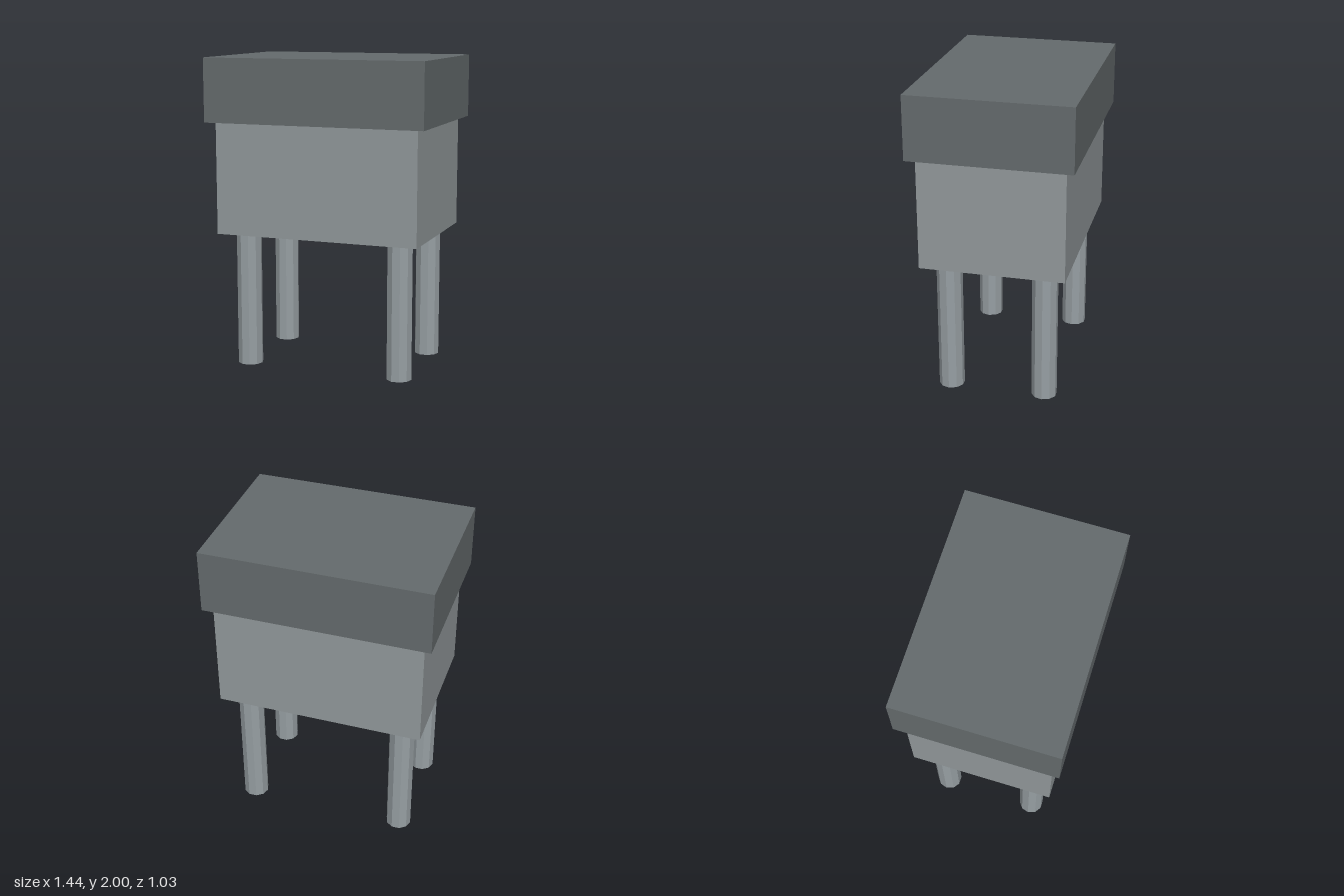
import * as THREE from 'three';

const material = (name, color) => {
  const m = new THREE.MeshStandardMaterial({ color, flatShading: true });
  m.name = name;
  return m;
};

export function createModel() {
  const model = new THREE.Group();
  model.name = 'boxOnLegs';

  const lidGrey = material('dark grey', 0x656b6d);
  const bodyGrey = material('light grey', 0x92999b);
  const legGrey = material('leg grey', 0x979fa3);

  const add = (name, geometry, mat, x, y, z) => {
    const mesh = new THREE.Mesh(geometry, mat);
    mesh.name = name;
    mesh.position.set(x, y, z);
    model.add(mesh);
  };

  // Overhanging lid and the body below it
  const legTop = 0.876, bodyTop = 1.594;
  add('lid', new THREE.BoxGeometry(1.436, 2 - bodyTop, 1.026), lidGrey, 0, (2 + bodyTop) / 2, 0);
  add('body', new THREE.BoxGeometry(1.33, bodyTop - legTop, 0.918), bodyGrey, 0, (bodyTop + legTop) / 2, 0);

  // Four ten-sided legs, with corners facing left and right
  const leg = new THREE.CylinderGeometry(0.082, 0.082, legTop, 10).rotateY(Math.PI / 2);
  for (const [zName, z] of [['front', 0.307], ['back', -0.307]]) {
    for (const [xName, x] of [['Left', 0.513], ['Right', -0.513]]) {
      add(`${zName}${xName}Leg`, leg, legGrey, x, legTop / 2, z);
    }
  }

  return model;
}
